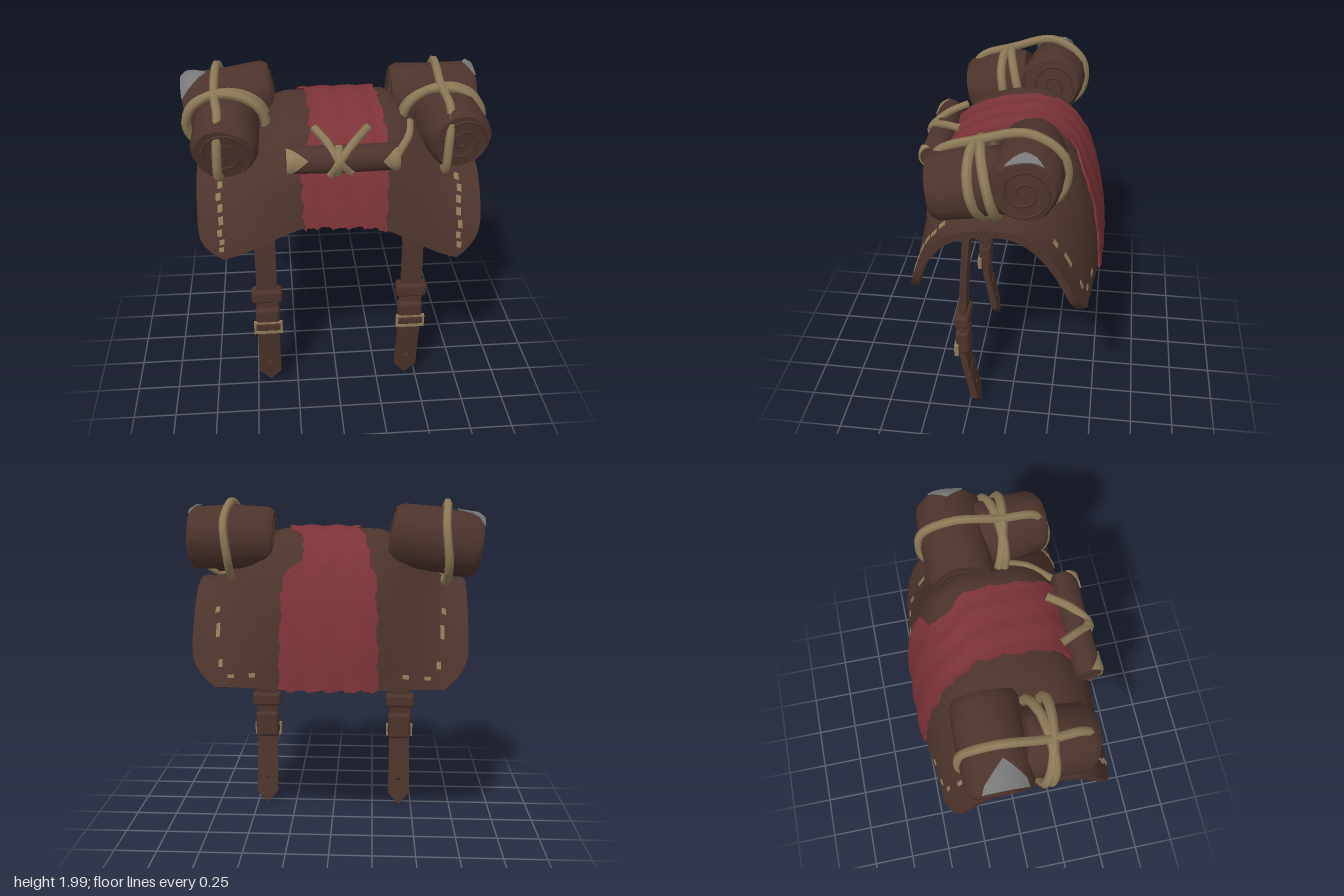
import * as THREE from 'three';
import { toCreasedNormals } from 'three/addons/utils/BufferGeometryUtils.js';
import { RoundedBoxGeometry } from 'three/addons/geometries/RoundedBoxGeometry.js';

const V = (x, y, z) => new THREE.Vector3(x, y, z);
const paint = (name, color) => Object.assign(new THREE.MeshStandardMaterial({ color }), { name });
const leather = paint('brown leather', 0x4c342c);
const cloth = paint('red cloth', 0x7c3337);
const rope = paint('tan rope', 0x8d7b58);
const lining = paint('grey lining', 0x787878);

function add(parent, name, geo, mat) {
  const m = new THREE.Mesh(geo, mat);
  m.name = name;
  parent.add(m);
  return m;
}

// Closed sheet: a surface fn(u, v), backed by a second surface or by a thickness
function sheet(fn, nu, nv, backing) {
  const pos = [], idx = [], e = 1e-3, n = (nu + 1) * (nv + 1);
  const back = [];
  for (let j = 0; j <= nv; j++) for (let i = 0; i <= nu; i++) {
    const u = i / nu, v = j / nv, u0 = Math.max(0, u - e), v0 = Math.max(0, v - e);
    const p = fn(u, v);
    const du = fn(Math.min(1, u + e), v).sub(fn(u0, v));
    const dv = fn(u, Math.min(1, v + e)).sub(fn(u, v0));
    const q = typeof backing === 'function' ? backing(u, v) : p.clone().addScaledVector(du.cross(dv).normalize(), -backing);
    pos.push(p.x, p.y, p.z);
    back.push(q.x, q.y, q.z);
  }
  const at = (i, j) => j * (nu + 1) + i;
  for (let j = 0; j < nv; j++) for (let i = 0; i < nu; i++) {
    const a = at(i, j), b = at(i + 1, j), c = at(i + 1, j + 1), d = at(i, j + 1);
    idx.push(a, b, c, a, c, d, a + n, c + n, b + n, a + n, d + n, c + n);
  }
  const rim = [];
  for (let i = 0; i < nu; i++) rim.push(at(i, 0));
  for (let j = 0; j < nv; j++) rim.push(at(nu, j));
  for (let i = nu; i > 0; i--) rim.push(at(i, nv));
  for (let j = nv; j > 0; j--) rim.push(at(0, j));
  rim.forEach((p, k) => {
    const q = rim[(k + 1) % rim.length];
    idx.push(p, p + n, q + n, p, q + n, q);
  });
  const g = new THREE.BufferGeometry();
  g.setAttribute('position', new THREE.Float32BufferAttribute(pos.concat(back), 3));
  g.setIndex(idx);
  return toCreasedNormals(g, 0.8);
}

// Saddle top: blends a tall middle section into low end sections, front (t=0) to back (t=1)
const section = (pts) => new THREE.CatmullRomCurve3(pts.map(([z, y]) => V(0, y, z)));
const middle = section([[.48, 1.27], [.45, 1.42], [.40, 1.58], [.27, 1.73], [.05, 1.81], [-.15, 1.81], [-.30, 1.70], [-.41, 1.48], [-.47, 1.22], [-.495, .99]]);
const end = section([[.50, 1.05], [.465, 1.19], [.39, 1.36], [.27, 1.48], [.10, 1.525], [-.07, 1.52], [-.20, 1.44], [-.315, 1.29], [-.395, 1.12], [-.445, .99]]);
const blend = (x, t) => THREE.MathUtils.smoothstep(Math.abs(x), 0.1 + 0.16 * Math.sin(Math.PI * t), 0.7);
const frontLift = (x, t) => (x < 0 ? 0.05 * Math.max(0, 1 - t / 0.15) * Math.min(1, -x / 0.6) : 0);
function surf(x, t) {
  const c = THREE.MathUtils.clamp(t, 0, 1);
  const p = middle.getPoint(c).lerp(end.getPoint(c), blend(x, c));
  p.y += frontLift(x, c) - Math.max(0, t - 1) * 2 - Math.max(0, -t) * 2;
  p.x = x;
  return p;
}
// Saddle underside: an even barrel vault, cut along the same front hem
function underside(x, t) {
  const t0 = 0.165 * (1 - blend(x, 0)), c = t0 + (1 - t0) * t;
  const p = end.getPoint(c), d = end.getTangent(c);
  p.y += d.z * 0.04 + frontLift(x, t);
  p.z -= d.y * 0.04;
  p.x = x;
  return p;
}
function lifted(x, t, d) {
  const e = 0.004, c = THREE.MathUtils.clamp(t, e, 1 - e);
  const n = surf(x + e, c).sub(surf(x - e, c)).cross(surf(x, c + e).sub(surf(x, c - e))).normalize();
  return surf(x, t).addScaledVector(n, d);
}
const halfWidth = (t) => 0.765 - 0.13 * Math.pow(1 - Math.min(1, Math.min(t, 1 - t) / 0.17), 2);

// Red runner edges along t: [t, right edge, left edge]
const edges = [[0, -.2, .24], [.2, -.21, .25], [.35, -.15, .25], [.55, -.16, .22], [.61, -.2, .14], [.69, -.22, .15], [.72, -.25, .25], [1, -.27, .27]];
function runner(u, v) {
  const k = Math.max(1, edges.findIndex((q) => q[0] >= v));
  const [a, b] = [edges[k - 1], edges[k]], f = (v - a[0]) / (b[0] - a[0]);
  const jag = 0.007 * Math.sin(v * 83) + 0.005 * Math.sin(v * 190);
  const l = a[1] + (b[1] - a[1]) * f + jag, r = a[2] + (b[2] - a[2]) * f + 0.8 * jag;
  const fray = (0.004 * Math.sin(u * 31) + 0.003 * Math.sin(u * 67)) * Math.pow(2 * v - 1, 4);
  return lifted(l + (r - l) * u, v + fray + 0.001 * (2 * v - 1), 0.016 + 0.004 * Math.sin(u * 17 + v * 5));
}

// Rolled bundle from a to b, with a spiral on the chosen ends
const lump = (a, y) => 1 + 0.035 * Math.sin(3 * a + y * 9) + 0.02 * Math.sin(5 * a - y * 14);
function roll(parent, name, a, b, r, spirals) {
  const g = new THREE.Group(), d = b.clone().sub(a), h = d.length() / 2, bv = r * 0.2;
  g.name = name;
  g.position.copy(a).add(b).multiplyScalar(0.5);
  g.quaternion.setFromUnitVectors(V(0, 1, 0), d.normalize());
  const prof = [[0, -h], [r * .88, -h], [r, -h + bv], [r * 1.03, 0], [r, h - bv], [r * .88, h], [0, h]];
  const geo = new THREE.LatheGeometry(prof.map(([x, y]) => new THREE.Vector2(x, y)), 14);
  const p = geo.attributes.position;
  for (let i = 0; i < p.count; i++) {
    const k = lump(Math.atan2(p.getZ(i), p.getX(i)), p.getY(i));
    p.setXYZ(i, p.getX(i) * k, p.getY(i), p.getZ(i) * k);
  }
  add(g, name + 'Body', toCreasedNormals(geo, 0.7), leather);
  for (const s of spirals) {
    const pts = Array.from({ length: 28 }, (_, i) => {
      const q = i * 0.5, rr = r * (0.08 + 0.76 * i / 27);
      return V(Math.cos(q) * rr, s * h, Math.sin(q) * rr);
    });
    add(g, name + 'Spiral', new THREE.TubeGeometry(new THREE.CatmullRomCurve3(pts), 60, r * 0.05, 5), leather);
  }
  parent.add(g);
  return { g, h, r };
}
// Thin pointed patch wrapped on a roll near its end s, around the angle mid
function patch({ g, h, r }, name, s, mid, spread, depth, mat) {
  add(g, name, sheet((u, v) => {
    const a = mid + s * (u - 0.5) * spread, q = v * depth * (1.02 - Math.abs(2 * u - 1)), y = s * (h - q);
    const rr = (r * (0.88 + 0.13 * Math.min(1, q / (r * 0.2)))) * lump(a, y) + 0.009;
    return V(Math.cos(a) * rr, y, Math.sin(a) * rr);
  }, 8, 5, 0.006), mat);
}
function cord(parent, name, pts, r, closed = false) {
  const c = new THREE.CatmullRomCurve3(pts.map((p) => V(...p)), closed);
  add(parent, name, new THREE.TubeGeometry(c, pts.length * 6, r, 6, closed), rope);
}

// Hanging strap with keeper, buckle and pointed punched tip
function strap(parent, name, x, topX) {
  const g = new THREE.Group();
  g.name = name;
  g.position.x = x;
  const path = new THREE.CatmullRomCurve3([V(0, .28, .268), V(0, .38, .284), V(0, .5, .292), V(0, .7, .284), V(0, 1, .268), V(topX / 2, 1.25, .248), V(topX, 1.49, .217)]);
  add(g, 'strapBand', sheet((u, v) => {
    const p = path.getPoint(v);
    p.x += (u - 0.5) * (p.y < 0.7 ? 0.13 : 0.12);
    return p;
  }, 2, 24, 0.038), leather);
  const s = new THREE.Shape([[-.065, .3], [-.068, .08], [0, 0], [.068, .08], [.065, .3]].map((q) => new THREE.Vector2(...q)));
  s.holes.push(new THREE.Path().absarc(0, .165, .013, 0, Math.PI * 2, true));
  const tip = add(g, 'strapTip', new THREE.ExtrudeGeometry(s, { depth: 0.04, bevelEnabled: false, curveSegments: 6 }), leather);
  tip.position.set(0, 0.01, 0.18);
  tip.rotation.x = 0.165;
  add(g, 'keeperLoop', new RoundedBoxGeometry(.18, .085, .085, 2, .02), leather).position.set(0, .7, .268);
  add(g, 'buckleFold', new RoundedBoxGeometry(.145, .17, .08, 2, .025), leather).position.set(0, .53, .272);
  const f = new THREE.Shape([[-.085, -.04], [.085, -.04], [.085, .04], [-.085, .04]].map((q) => new THREE.Vector2(...q)));
  f.holes.push(new THREE.Path([[-.072, -.022], [-.072, .032], [.072, .032], [.072, -.022]].map((q) => new THREE.Vector2(...q))));
  add(g, 'buckle', new THREE.ExtrudeGeometry(f, { depth: 0.025, bevelEnabled: false }), rope).position.set(0, .485, .293);
  add(g, 'buckleBar', new RoundedBoxGeometry(.15, .05, .04, 1, .01), leather).position.set(0, .49, .302);
  parent.add(g);
}

export function createModel() {
  const root = new THREE.Group();
  root.name = 'packSaddle';

  const across = (fn) => (u, v) => fn((2 * u - 1) * halfWidth(v), v);
  add(root, 'saddleLeather', sheet(across(surf), 28, 36, across(underside)), leather);
  add(root, 'redRunner', sheet(runner, 26, 70, 0.012), cloth);

  // Stitches down the front side edges, and a few worn ones at the back
  const stitch = (x, t, w, l) => add(root, 'stitch', sheet((u, v) => lifted(x + (u - .5) * w, t + (v - .5) * l, 0.005), 1, 2, 0.008), rope);
  for (const s of [-1, 1]) {
    for (let i = 0; i < 7; i++) stitch(s * (0.645 + 0.006 * Math.sin(i * 4)), 0.06 + i * 0.04, 0.026, 0.026);
    for (const [x, t, w, l] of [[.63, .72, .025, .02], [.62, .79, .022, .045], [.6, .9, .022, .03], [.54, .955, .035, .014], [.42, .955, .035, .014]]) stitch(s * x, t, w, l);
    // Binding on the inside of the back hem
    add(root, 'hemBinding', sheet((u, v) => underside(s * 0.14 - 0.02 + (u - .5) * .18, 0.988 + v * 0.01), 2, 1, 0.005), rope);
  }

  // Right bundle
  const backR = roll(root, 'rightBackRoll', V(-.82, 1.73, -.15), V(-.34, 1.81, -.15), .175, [-1, 1]);
  patch(backR, 'rightLining', -1, Math.PI - 0.15, 1.6, 0.15, lining);
  roll(root, 'rightFrontRoll', V(-.59, 1.75, -.02), V(-.61, 1.65, .34), .178, [1]);
  // Left bundle
  const backL = roll(root, 'leftBackRoll', V(.32, 1.77, -.12), V(.79, 1.78, -.12), .175, [-1, 1]);
  patch(backL, 'leftLining', 1, Math.PI, 1.2, 0.06, lining);
  roll(root, 'leftFrontRoll', V(.60, 1.74, -.02), V(.645, 1.69, .36), .172, [1]);

  // Ropes around each bundle: one lengthwise, two crossing over
  for (const [name, x, cx, dz, dy] of [['right', -.64, -.595, -.02, -.01], ['left', .57, .58, 0, 0]]) {
    const loop = [[1.72, .385], [1.86, .32], [1.92, .13], [1.97, -.12], [1.87, -.29], [1.68, -.3], [1.56, -.18], [1.54, .2], [1.53, .36]];
    cord(root, name + 'LongRope', loop.map(([y, z], i) => [x + 0.012 * Math.sin(i * 2), y + (i === 3 ? 0 : dy), z + dz]), .024, true);
    for (const k of [-1, 1]) {
      const ring = Array.from({ length: 10 }, (_, i) => {
        const a = i / 10 * Math.PI * 2, c = Math.cos(a), s = Math.sin(a);
        return [cx + c * 0.215, 1.73 + s * (s > 0 ? 0.178 : 0.185), 0.09 + k * 0.015 + s * 0.04 + k * 0.03 * c];
      });
      cord(root, name + 'CrossRope', ring, .026, true);
    }
  }

  // Small roll tied across the front
  const small = roll(root, 'frontRoll', V(-.285, 1.65, .425), V(.3, 1.65, .42), .072, [-1, 1]);
  patch(small, 'rollTrimRight', -1, 1.9, 2.2, 0.11, rope);
  patch(small, 'rollTrimLeft', 1, 1.7, 2.4, 0.09, rope);
  const tie = (pts) => cord(root, 'frontTie', pts, .023);
  tie([[-.13, 1.77, .3], [-.07, 1.735, .41], [-.02, 1.67, .485], [.05, 1.59, .465]]);
  tie([[.15, 1.76, .29], [.07, 1.735, .41], [-.01, 1.67, .49], [-.06, 1.58, .465]]);
  tie([[-.015, 1.73, .44], [-.015, 1.66, .495], [-.015, 1.58, .455]]);
  tie([[.27, 1.62, .42], [.32, 1.645, .34], [.38, 1.69, .24], [.4, 1.72, .14]]);

  strap(root, 'rightStrap', -.42, -.01);
  strap(root, 'leftStrap', .435, -.035);
  return root;
}
